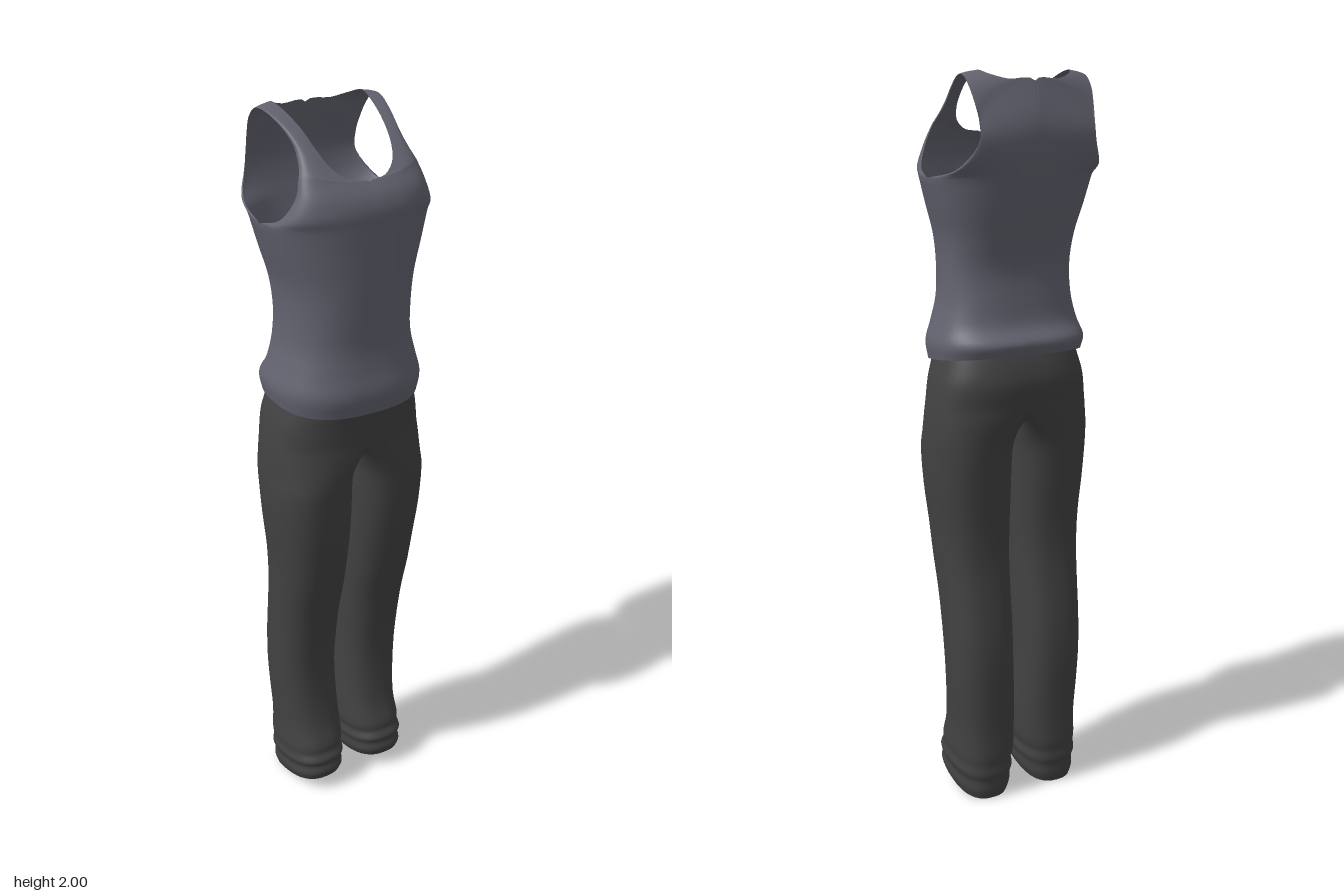
import * as THREE from 'three';
import { mergeVertices, mergeGeometries } from 'three/addons/utils/BufferGeometryUtils.js';

const ROUND = 0.78; // squareness of the cross-sections
const pw = v => (Math.abs(v) < 1e-9 ? 0 : Math.sign(v) * Math.pow(Math.abs(v), ROUND));

// Part of a rounded-box cross-section; angle 0 is the front, PI/2 the +x side, PI the back
function arc({ y, cx = 0, w, zf, zb, tilt = 0, dip = 0, zc = 0 }, a0, a1, n) {
  return Array.from({ length: n + 1 }, (_, i) => {
    const a = a0 + (a1 - a0) * i / n, s = Math.sin(a), c = Math.cos(a);
    const z = zc + (c > 0 ? zf - zc : zc - zb) * pw(c);
    return new THREE.Vector3(cx + w * pw(s), y + tilt * z - dip * Math.abs(s), z);
  });
}

// Rounded strip of cloth from an inner edge point out to an outer edge point
function strip([xi, yi, zi, xo, yo, zo], n) {
  return Array.from({ length: n + 1 }, (_, i) => {
    const t = i / n, a = t * Math.PI / 2;
    return new THREE.Vector3(
      xi + (xo - xi) * pw(Math.sin(a)), yi + (yo - yi) * t, zo + (zi - zo) * pw(Math.cos(a)));
  });
}

// Smooth surface through rows of points, with `sub` steps between neighbouring rows
function loft(rows, sub) {
  const n = rows[0].length, steps = (rows.length - 1) * sub, pos = [], idx = [];
  const cols = rows[0].map((_, c) =>
    new THREE.CatmullRomCurve3(rows.map(r => r[c]), false, 'catmullrom', 0.5).getPoints(steps));
  for (let r = 0; r <= steps; r++) for (let c = 0; c < n; c++) pos.push(...cols[c][r].toArray());
  for (let r = 0; r < steps; r++) for (let c = 0; c < n - 1; c++) {
    const a = r * n + c, b = a + n;
    idx.push(a, a + 1, b + 1, a, b + 1, b);
  }
  const g = new THREE.BufferGeometry();
  g.setAttribute('position', new THREE.Float32BufferAttribute(pos, 3));
  g.setIndex(idx);
  return g;
}

// Copy mirrored across x, with the winding reversed
function mirrored(g) {
  const m = g.clone().scale(-1, 1, 1), ix = m.index.array;
  for (let i = 0; i < ix.length; i += 3) [ix[i + 1], ix[i + 2]] = [ix[i + 2], ix[i + 1]];
  return m;
}

// Weld the patches and their mirror images into one smooth cloth
function cloth(name, patches, material) {
  const g = mergeVertices(mergeGeometries([...patches, ...patches.map(mirrored)]), 1e-4);
  g.computeVertexNormals();
  const mesh = new THREE.Mesh(g, material);
  mesh.name = name;
  return mesh;
}

function tankTop(material) {
  // Hem to underarm: y, half width, front z, back z, tilt
  const body = [
    [1.262, 0.206, 0.172, -0.143, -0.13], [1.305, 0.211, 0.183, -0.155, -0.06],
    [1.355, 0.197, 0.172, -0.122, 0], [1.42, 0.181, 0.165, -0.11, 0],
    [1.5, 0.177, 0.17, -0.105, 0], [1.58, 0.184, 0.174, -0.125, 0],
    [1.66, 0.206, 0.176, -0.15, 0], [1.735, 0.226, 0.178, -0.17, 0],
  ].map(([y, w, zf, zb, tilt]) => ({ y, w, zf, zb, tilt }));
  const rim = body[body.length - 1], half = 14;

  // Strips from centre or neckline out to the armhole: inner xyz, outer xyz
  const chest = [
    [0, 1.775, 0.178, 0.21, 1.757, 0.07], [0, 1.81, 0.166, 0.184, 1.81, 0.1],
    [0, 1.838, 0.143, 0.168, 1.858, 0.09],
  ];
  const strap = [
    [0.05, 1.846, 0.134, 0.161, 1.875, 0.081], [0.088, 1.873, 0.108, 0.155, 1.895, 0.064],
    [0.106, 1.912, 0.069, 0.151, 1.924, 0.037], [0.116, 1.955, 0.014, 0.158, 1.96, -0.01],
    [0.125, 1.987, -0.05, 0.169, 1.985, -0.062], [0.129, 1.999, -0.095, 0.174, 1.986, -0.105],
  ];
  const back = [
    [0.113, 1.99, -0.125, 0.173, 1.957, -0.137], [0.07, 1.978, -0.145, 0.168, 1.918, -0.157],
    [0, 1.973, -0.154, 0.164, 1.874, -0.172], [0, 1.875, -0.185, 0.168, 1.822, -0.174],
    [0, 1.8, -0.183, 0.203, 1.76, -0.118],
  ];
  // Up the chest, over the shoulder and down the back
  const upper = [
    arc(rim, 0, Math.PI / 2, half),
    ...[...chest, ...strap, ...back].map(s => strip(s, half)),
    arc(rim, Math.PI, Math.PI / 2, half),
  ];
  return cloth('tankTop', [
    loft(body.map(b => arc(b, 0, Math.PI, half * 2)), 4),
    loft(upper, 4),
  ], material);
}

function trousers(material) {
  // Hips, from crotch up to waistband
  const hips = [
    { y: 1.14, w: 0.223, zf: 0.146, zb: -0.137 }, { y: 1.2, w: 0.214, zf: 0.15, zb: -0.145 },
    { y: 1.25, w: 0.2, zf: 0.155, zb: -0.135 }, { y: 1.3, w: 0.186, zf: 0.15, zb: -0.115 },
  ];
  // Leg, from rumpled cuff up: y, inner x, outer x, front z, back z
  const leg = [
    [0.026, 0.032, 0.178, 0.106, -0.12], [0.05, 0.022, 0.186, 0.114, -0.126],
    [0.075, 0.022, 0.183, 0.108, -0.126], [0.095, 0.016, 0.19, 0.112, -0.131],
    [0.118, 0.02, 0.186, 0.1, -0.129], [0.145, 0.013, 0.188, 0.098, -0.132],
    [0.21, 0.012, 0.185, 0.077, -0.13], [0.3, 0.014, 0.19, 0.063, -0.133],
    [0.4, 0.017, 0.195, 0.06, -0.135], [0.5, 0.016, 0.198, 0.07, -0.129],
    [0.6, 0.014, 0.201, 0.086, -0.115], [0.7, 0.01, 0.206, 0.109, -0.102],
    [0.8, 0.006, 0.212, 0.126, -0.101], [0.9, 0.003, 0.222, 0.139, -0.108],
    [1.0, 0.001, 0.228, 0.144, -0.115],
  ].map(([y, xi, xo, zf, zb]) => ({
    y, cx: (xi + xo) / 2, wo: (xo - xi) / 2, wi: (xo - xi) / 2,
    zf, zb, zc: (zf + zb) / 2, tilt: 0.22 * Math.max(0, 1 - y / 0.25),
  }));
  // Crotch: the inner side of the leg closes onto the centre line
  leg.push(
    { y: 1.05, cx: 0.09, wo: 0.138, wi: 0.09, zf: 0.145, zb: -0.12, dip: 0.01 },
    { y: 1.1, cx: 0.045, wo: 0.181, wi: 0.045, zf: 0.145, zb: -0.13, dip: 0.035 },
    { ...hips[0], wo: hips[0].w, wi: 0, dip: 0.06 },
  );
  const ring = k => [
    ...arc({ ...k, w: k.wo, dip: 0 }, 0, Math.PI, 24),
    ...arc({ ...k, w: k.wi }, Math.PI, Math.PI * 2, 20).slice(1),
  ];
  return cloth('trousers', [
    loft(leg.map(ring), 3),
    loft(hips.map(h => arc(h, 0, Math.PI, 24)), 4),
  ], material);
}

export function createModel() {
  const fabric = (name, color) => {
    const m = new THREE.MeshStandardMaterial({ color, side: THREE.DoubleSide });
    m.name = name;
    return m;
  };
  const group = new THREE.Group();
  group.name = 'outfit';
  group.add(tankTop(fabric('slate grey', 0x636370)), trousers(fabric('charcoal', 0x424242)));
  return group;
}
